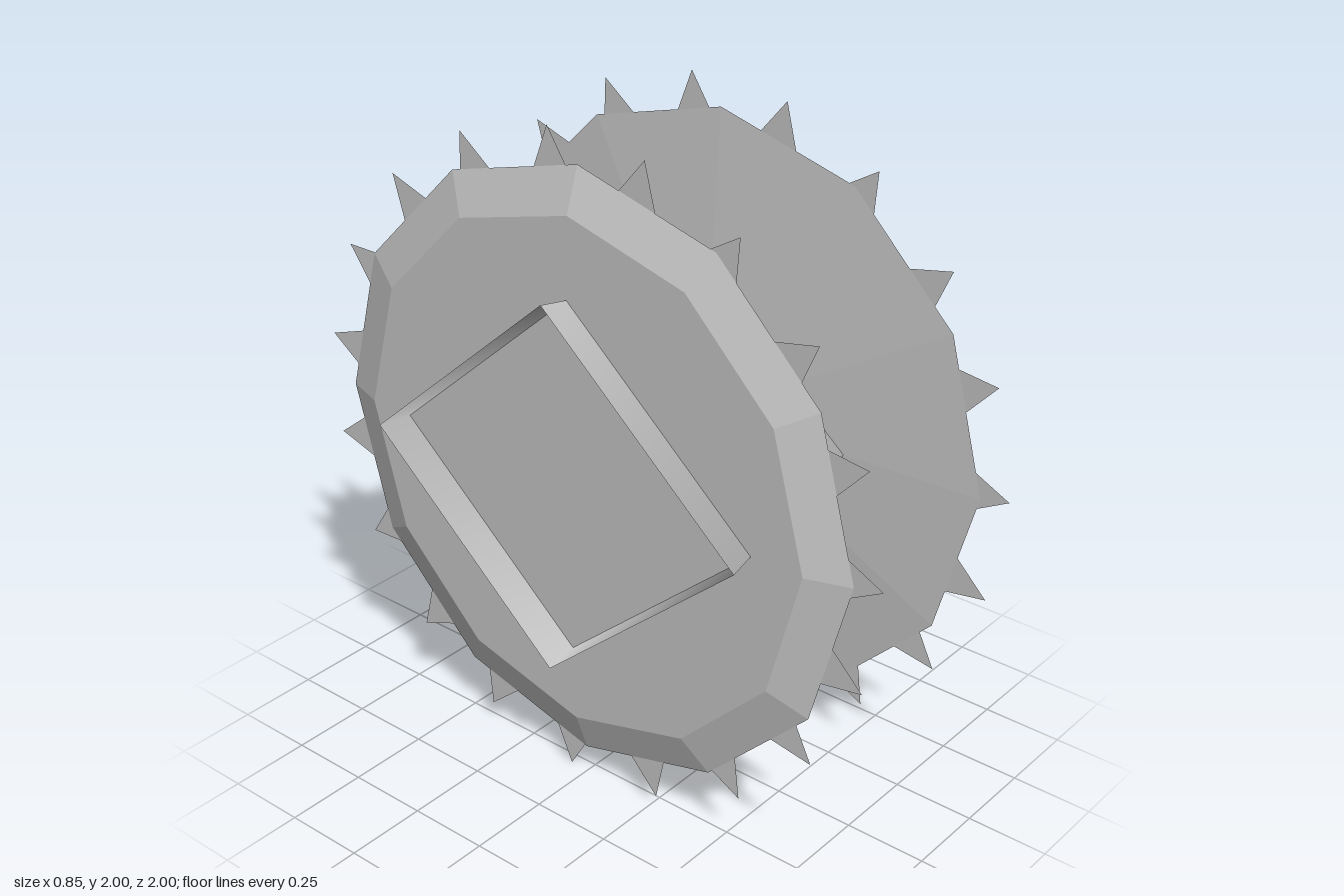
import * as THREE from 'three';

const TEETH = 19;
const TOOTH_PHASE = THREE.MathUtils.degToRad(1.2);

// Profile [radius, x] turned around the x axis as a 12-sided disc
function makeDisc(name, profile, material) {
  const points = profile.map(([r, x]) => new THREE.Vector2(r, x));
  const geometry = new THREE.LatheGeometry(points, 12).rotateZ(-Math.PI / 2);
  const disc = new THREE.Mesh(geometry, material);
  disc.name = name;
  return disc;
}

// Ring of thin pointed teeth lying in the plane of the disc's rim
function makeTeeth(name, x, material) {
  const shapes = [];
  for (let i = 0; i < TEETH; i++) {
    const a = TOOTH_PHASE + (i / TEETH) * Math.PI * 2;
    const at = (r, w) => new THREE.Vector2(
      r * Math.cos(a) - w * Math.sin(a),
      r * Math.sin(a) + w * Math.cos(a));
    shapes.push(new THREE.Shape([at(0.8, -0.105), at(1.003, 0), at(0.8, 0.105)]));
  }
  const geometry = new THREE.ShapeGeometry(shapes).rotateY(-Math.PI / 2).translate(x, 0, 0);
  const teeth = new THREE.Mesh(geometry, material);
  teeth.name = name;
  return teeth;
}

export function createModel() {
  const model = new THREE.Group();
  model.name = 'toothedSpool';
  const faceted = new THREE.MeshStandardMaterial({ color: 0xcccccc, flatShading: true });
  const thin = new THREE.MeshStandardMaterial({ color: 0xcccccc, side: THREE.DoubleSide });

  const body = new THREE.Group();
  body.name = 'spool';
  body.position.y = 1.002;
  model.add(body);

  // Open four-sided tapered hub, wider at the right end
  const hubGeometry = new THREE.CylinderGeometry(0.423, 0.565, 0.72, 4, 1, true)
    .rotateZ(-Math.PI / 2)
    .scale(1, 1, 1.15)
    .translate(-0.07, 0, -0.008);
  const hub = new THREE.Mesh(hubGeometry, thin);
  hub.name = 'hub';
  body.add(hub);

  // Disc with a bevelled flat outer face and a shallow cone inside
  body.add(makeDisc('rightDisc',
    [[0, -0.33], [0.785, -0.33], [0.913, -0.286], [0, -0.225]], faceted));
  body.add(makeTeeth('rightTeeth', -0.286, thin));

  // Disc with a pointed outer face and a shallow cone inside
  body.add(makeDisc('leftDisc',
    [[0, 0.25], [0.913, 0.31], [0, 0.42]], faceted));
  body.add(makeTeeth('leftTeeth', 0.31, thin));

  return model;
}
